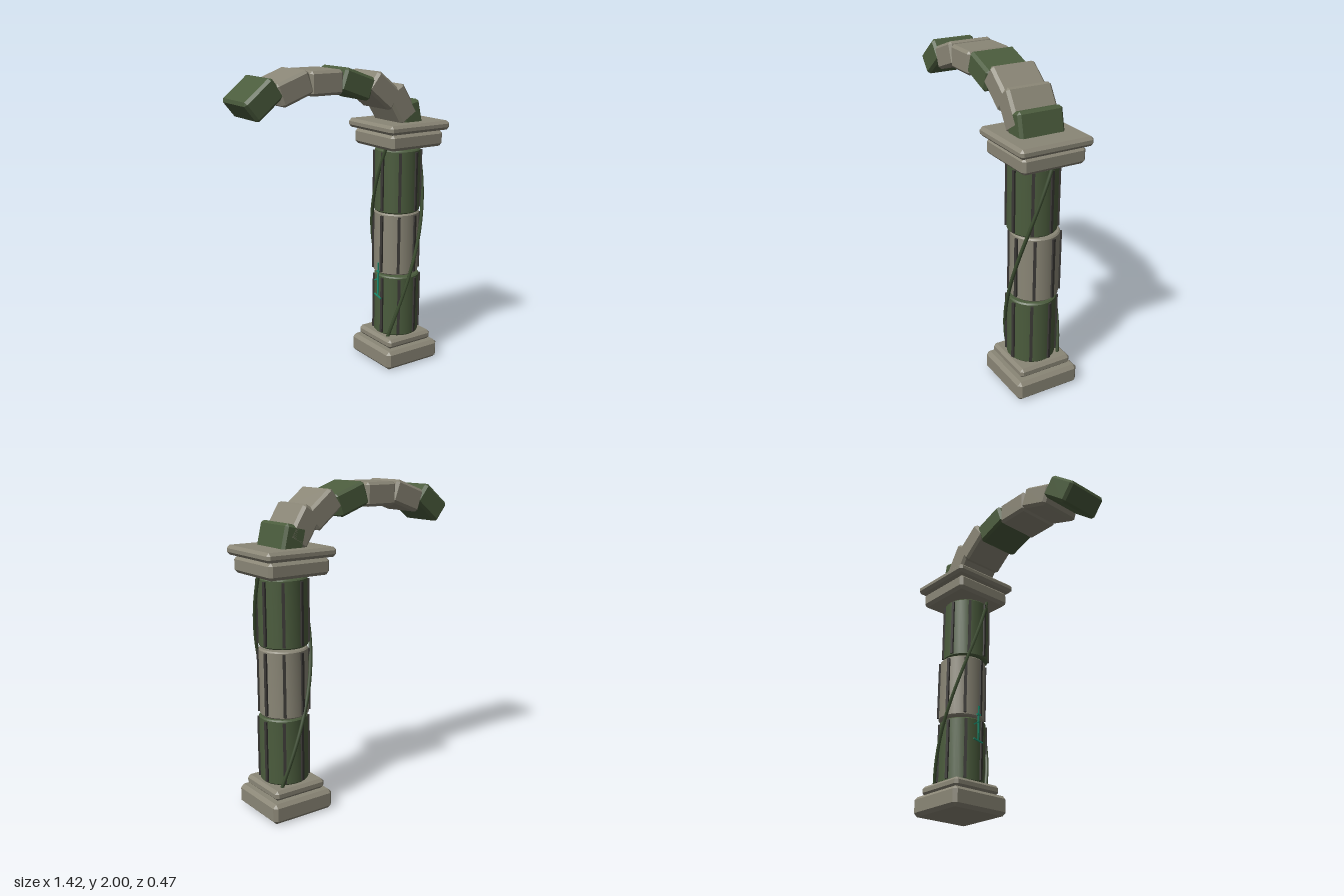
import * as THREE from 'three';
import { ConvexGeometry } from 'three/addons/geometries/ConvexGeometry.js';
import { toCreasedNormals } from 'three/addons/utils/BufferGeometryUtils.js';

const mat = (name, color) => Object.assign(new THREE.MeshStandardMaterial({ color }), { name });

// Box with flat chamfers on all edges
function chamferBox(w, h, d, c) {
  const pts = [];
  for (const x of [-1, 1]) for (const y of [-1, 1]) for (const z of [-1, 1]) {
    const [a, b, e] = [w / 2, h / 2, d / 2];
    pts.push(
      new THREE.Vector3(x * a, y * (b - c), z * (e - c)),
      new THREE.Vector3(x * (a - c), y * b, z * (e - c)),
      new THREE.Vector3(x * (a - c), y * (b - c), z * e));
  }
  return new ConvexGeometry(pts);
}

export function createModel() {
  const stone = mat('stone', 0x8a8676);
  const moss = mat('mossyStone', 0x4b5c3d);
  const dark = mat('darkGroove', 0x3a3835);
  const vineGreen = mat('vine', 0x3c4d30);
  const teal = mat('tealMark', 0x1c8f70);
  const model = new THREE.Group();
  const CX = 0.468;

  const add = (name, geo, material, x, y, z, parent = model) => {
    const m = new THREE.Mesh(geo, material);
    m.name = name;
    m.position.set(x, y, z);
    parent.add(m);
    return m;
  };

  // Square slabs of the base and the capital: name, width, bottom, top, chamfer
  for (const [name, w, y0, y1, c] of [
    ['basePlinth', 0.424, 0, 0.127, 0.022],
    ['baseStep', 0.354, 0.132, 0.194, 0.018],
    ['capitalBlock', 0.415, 1.476, 1.578, 0.02],
    ['capitalSlab', 0.474, 1.582, 1.64, 0.018],
  ]) add(name, chamferBox(w, y1 - y0, w, c), stone, CX, (y0 + y1) / 2, 0);

  // Shaft: three offset drums with dark vertical strips
  const R = 0.149, H = 0.415;
  const profile = [[0, -H / 2], [R - 0.008, -H / 2], [R, -H / 2 + 0.008], [R, H / 2 - 0.008], [R - 0.008, H / 2], [0, H / 2]]
    .map(([x, y]) => new THREE.Vector2(x, y));
  const drumGeo = toCreasedNormals(new THREE.LatheGeometry(profile, 32), 0.5);
  const stripGeo = new THREE.BoxGeometry(0.018, 0.385, 0.024);
  [[0.47, 0.403, 0.007, moss], [0.47, 0.829, -0.006, stone], [0.459, 1.252, 0.008, moss]].forEach(([x, y, z, m]) => {
    const drum = new THREE.Group();
    drum.name = 'columnDrum';
    drum.position.set(x, y, z);
    add('drumBody', drumGeo, m, 0, 0, 0, drum);
    for (let i = 0; i < 8; i++) {
      const a = (14 + i * 45) * Math.PI / 180;
      add('drumStrip', stripGeo, dark, Math.sin(a) * 0.148, 0, Math.cos(a) * 0.148, drum).rotation.y = a;
    }
    model.add(drum);
  });

  // Broken arch: x, y, tilt in degrees, material
  const archGeo = chamferBox(0.228, 0.146, 0.293, 0.017);
  [
    [-0.587, 1.846, 39, moss],
    [-0.384, 1.897, 20, stone],
    [-0.17, 1.918, 0, stone],
    [0.05, 1.897, -20, moss],
    [0.252, 1.846, -39, stone],
    [0.388, 1.757, -58, stone],
    [0.472, 1.658, -77, moss],
  ].forEach(([x, y, tilt, m]) => {
    add('archBlock', archGeo, m, x, y, 0).rotation.z = tilt * Math.PI / 180;
  });

  // Two vines winding up the shaft
  for (const [a0, a1] of [[-54, 93], [140, 295]]) {
    const pts = [];
    for (let i = 0; i <= 14; i++) {
      const t = i / 14, a = (a0 + (a1 - a0) * t) * Math.PI / 180;
      pts.push(new THREE.Vector3(Math.sin(a) * 0.165, 0.19 + 1.29 * t, Math.cos(a) * 0.165));
    }
    add('vine', new THREE.TubeGeometry(new THREE.CatmullRomCurve3(pts), 48, 0.0115, 6), vineGreen, CX, 0, 0);
  }

  // Small teal mark on the side of the shaft: z, y, length, thickness, tilt
  for (const [z, y, len, th, tilt] of [
    [0.01, 0.575, 0.24, 0.009, 90],
    [0.01, 0.46, 0.075, 0.009, 12],
    [-0.008, 0.575, 0.04, 0.009, -30],
    [0.01, 0.635, 0.03, 0.012, 0],
  ]) add('tealMark', new THREE.BoxGeometry(0.008, th, len), teal, 0.313, y, z).rotation.x = tilt * Math.PI / 180;

  return model;
}
